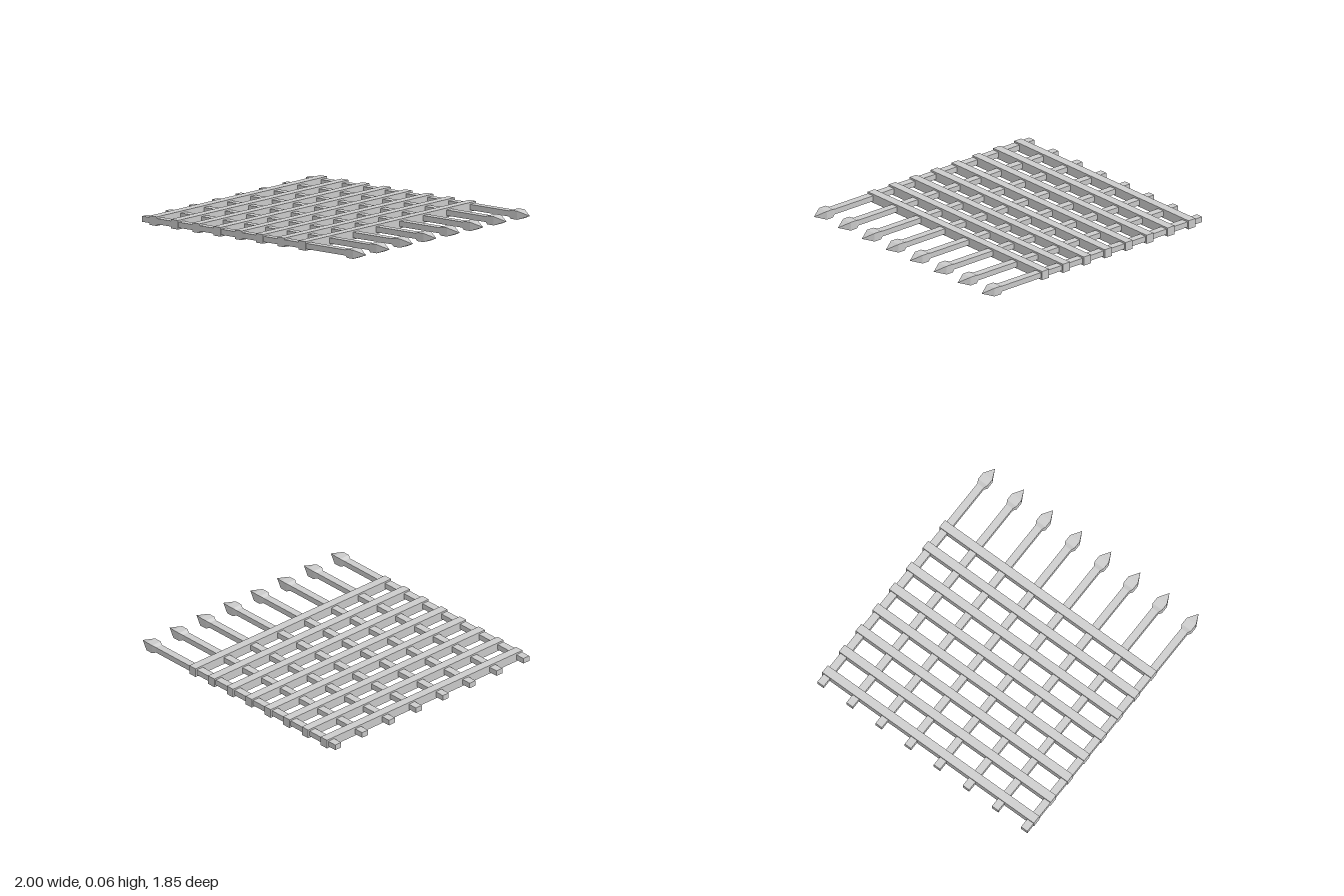
import * as THREE from 'three';

// Rectangular loft along x: sections are [x, half height, half depth]
function loftX(sections) {
  const pos = [];
  const ring = ([x, h, d]) => [[x, h, d], [x, h, -d], [x, -h, -d], [x, -h, d]];
  const quad = (a, b, c, d) => pos.push(...a, ...b, ...c, ...a, ...c, ...d);
  for (let i = 0; i < sections.length - 1; i++) {
    const a = ring(sections[i]), b = ring(sections[i + 1]);
    for (let k = 0; k < 4; k++) {
      const n = (k + 1) % 4;
      quad(a[k], b[k], b[n], a[n]);
    }
  }
  const s = ring(sections[0]);
  quad(s[0], s[1], s[2], s[3]);
  const geo = new THREE.BufferGeometry();
  geo.setAttribute('position', new THREE.Float32BufferAttribute(pos, 3));
  geo.computeVertexNormals();
  return geo;
}

export function createModel() {
  const group = new THREE.Group();
  group.name = 'portcullis';
  const mat = new THREE.MeshStandardMaterial({ color: 0xcccccc, flatShading: true });
  const midY = 0.0325, count = 8;

  const add = (name, geo, x, z) => {
    const mesh = new THREE.Mesh(geo, mat);
    mesh.name = name;
    mesh.position.set(x, midY, z);
    group.add(mesh);
  };

  const barGeo = new THREE.BoxGeometry(1.84, 0.04, 0.055);
  // Spearhead: flared collar, straight band, pyramid point
  const spikeGeo = loftX([
    [0.835, 0.02, 0.0275], [0.86, 0.031, 0.041], [0.917, 0.031, 0.041], [1, 0, 0],
  ]);
  const crossGeo = new THREE.BoxGeometry(0.064, 0.065, 1.84);

  for (let i = 0; i < count; i++) {
    const z = -0.885 + i * (1.77 / (count - 1));
    add('longBar', barGeo, -0.08, z);
    add('spike', spikeGeo, 0, z);
    add('crossBar', crossGeo, -0.896 + i * 0.192, -0.005);
  }
  return group;
}
